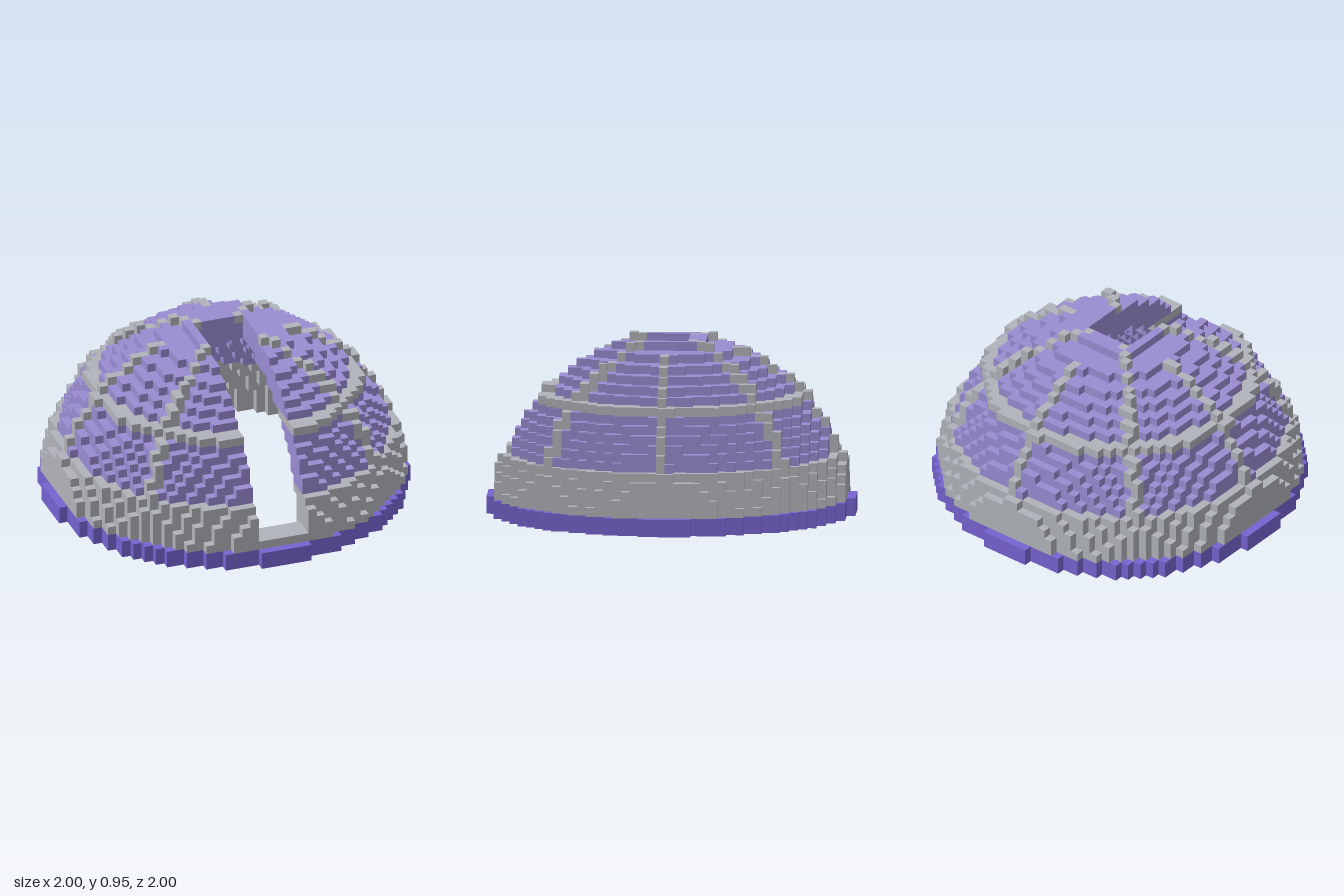
import * as THREE from 'three';

const N = 21;            // cells from the centre to the rim
const S = 1 / N;         // cell size

// Both sides show, because the shell is open underneath
const paint = (name, color) => {
  const material = new THREE.MeshStandardMaterial({ color, side: THREE.DoubleSide });
  material.name = name;
  return material;
};
const gray = paint('stone gray', 0xb0b3b9);
const lilac = paint('panel lilac', 0x998cd2);
const violet = paint('base violet', 0x7663d0);

const PARTS = { baseRing: violet, lowerWall: gray, middleBand: gray, ribs: gray, domePanels: lilac };

// Radii of the shell, in cells
const INNER = 17, PANEL = 20, OUTER = 20.6;

// Ribs start at every eighth of a turn and are four degrees wide
const EIGHTH = Math.PI / 4, RIB = Math.PI / 45;

// Which part fills the cell with lower corner (i, j, k), or null
function partAt(i, j, k) {
  if (j < 0 || j > 19) return null;
  const x = i + 0.5, y = j + 0.5, z = k + 0.5;
  const flat = Math.hypot(x, z);
  const r = Math.hypot(x, y, z);
  if (r < INNER) return null;
  // Two courses at the foot, faced with the violet ring
  if (j < 2) {
    if (flat > 20.72) return null;
    return flat > 19.7 ? 'baseRing' : 'lowerWall';
  }
  if (r > OUTER) return null;
  // Open slot from just behind the crown down to the front sill
  if (Math.abs(x) < 3 && z > -2 && j > 2) return null;
  if (j < 7) return 'lowerWall';
  if (j === 13) return 'middleBand';

  // Raised ribs; the small offset keeps cells exactly on a diagonal inside
  const turn = (Math.atan2(z, x) + 2 * Math.PI + 1e-6) % EIGHTH;
  if (r > 19.5 && turn < RIB) return 'ribs';
  return r < PANEL ? 'domePanels' : null;
}

// Outward direction and the two edge directions of each cube face
const FACES = [];
for (let a = 0; a < 3; a++) {
  for (const s of [1, -1]) {
    const n = [0, 0, 0], u = [0, 0, 0], v = [0, 0, 0];
    n[a] = s;
    u[(a + 1) % 3] = s;
    v[(a + 2) % 3] = 1;
    FACES.push({ n, u, v });
  }
}
const CORNERS = [[-1, -1], [1, -1], [1, 1], [-1, 1]];

export function createModel() {
  const group = new THREE.Group();
  group.name = 'steppedDome';
  const data = {};
  for (const name in PARTS) data[name] = { position: [], normal: [], index: [] };

  // Collect only the exposed faces of the filled cells
  for (let i = -N; i < N; i++) for (let j = 0; j < 20; j++) for (let k = -N; k < N; k++) {
    const name = partAt(i, j, k);
    if (!name) continue;
    const { position, normal, index } = data[name];
    const centre = [i + 0.5, j + 0.5, k + 0.5];
    for (const { n, u, v } of FACES) {
      // The foot stands open on the ground
      if (j + n[1] < 0 || partAt(i + n[0], j + n[1], k + n[2])) continue;
      const first = position.length / 3;
      for (const [p, q] of CORNERS) {
        for (let c = 0; c < 3; c++) position.push((centre[c] + (n[c] + p * u[c] + q * v[c]) / 2) * S);
        normal.push(...n);
      }
      index.push(first, first + 1, first + 2, first, first + 2, first + 3);
    }
  }

  // One mesh for each part
  for (const name in PARTS) {
    const geometry = new THREE.BufferGeometry();
    geometry.setAttribute('position', new THREE.Float32BufferAttribute(data[name].position, 3));
    geometry.setAttribute('normal', new THREE.Float32BufferAttribute(data[name].normal, 3));
    geometry.setIndex(data[name].index);
    const mesh = new THREE.Mesh(geometry, PARTS[name]);
    mesh.name = name;
    group.add(mesh);
  }
  return group;
}
